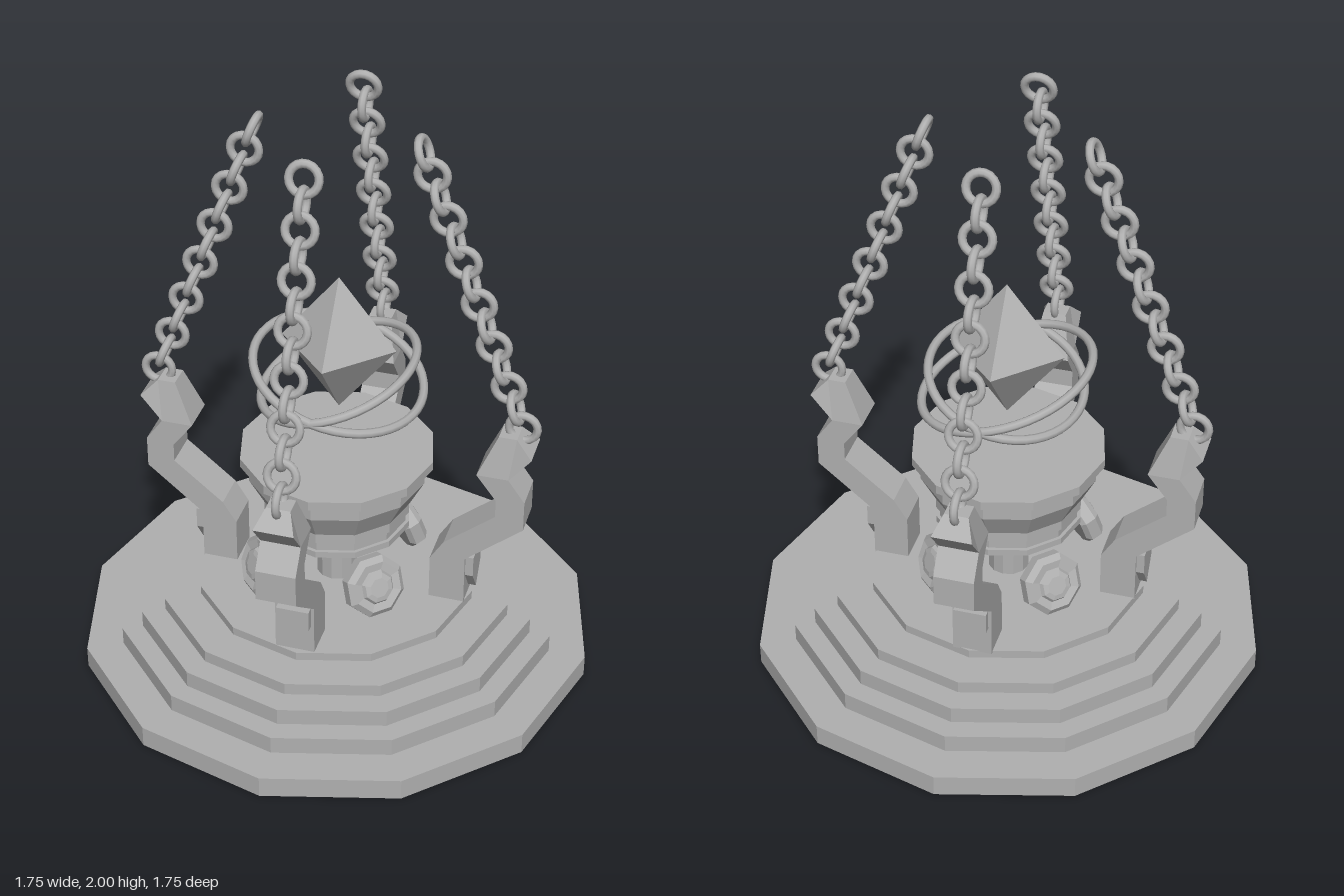
import * as THREE from 'three';

const stone = new THREE.MeshStandardMaterial({ color: 0xb0b0b0 });
const V = (x, y) => new THREE.Vector2(x, y);

function mesh(name, geometry, flat = true) {
  let g = geometry;
  if (flat) {
    if (g.index) g = g.toNonIndexed();
    g.computeVertexNormals();
  }
  const m = new THREE.Mesh(g, stone);
  m.name = name;
  return m;
}

// Twelve-sided stepped plinth: radius, bottom, top
function createPlinth() {
  const group = new THREE.Group();
  group.name = 'plinth';
  const steps = [[0.875, 0, 0.075], [0.75, 0.075, 0.138], [0.68, 0.138, 0.197], [0.6, 0.197, 0.24], [0.475, 0.24, 0.27]];
  steps.forEach(([r, y0, y1], i) => {
    const step = mesh('step' + (i + 1), new THREE.CylinderGeometry(r, r, y1 - y0, 12));
    step.position.y = (y0 + y1) / 2;
    group.add(step);
  });
  return group;
}

// Flared pedestal with a flat top
function createPedestal() {
  const profile = [
    V(0, 0.495), V(0.25, 0.495), V(0.25, 0.518), V(0.238, 0.518), V(0.238, 0.55), V(0.25, 0.555),
    V(0.25, 0.59), V(0.3, 0.685), V(0.3, 0.745), V(0.328, 0.745), V(0.328, 0.777), V(0, 0.777),
  ];
  return mesh('pedestal', new THREE.LatheGeometry(profile, 12));
}

// Bent supporting arm reaching out along +x, with a tapered tip and a pointed plate
function createArm() {
  const group = new THREE.Group();
  group.name = 'arm';
  const width = 0.132;
  const outline = new THREE.Shape([
    V(0.46, 0.265), V(0.46, 0.45), V(0.65, 0.61), V(0.65, 0.72), V(0.593, 0.8), V(0.665, 0.89),
    V(0.61, 0.945), V(0.55, 0.945), V(0.487, 0.8), V(0.555, 0.71), V(0.555, 0.645), V(0.386, 0.505),
    V(0.34, 0.43), V(0.34, 0.265),
  ]);
  const g = new THREE.ExtrudeGeometry(outline, { depth: width, bevelEnabled: false });
  g.translate(0, 0, -width / 2);
  const p = g.attributes.position;
  for (let i = 0; i < p.count; i++) if (p.getY(i) > 0.92) p.setZ(i, p.getZ(i) * 0.6);
  group.add(mesh('armBody', g));

  const plate = new THREE.Shape([V(0, 0.295), V(0.055, 0.375), V(0.055, 0.45), V(-0.055, 0.45), V(-0.055, 0.375)]);
  const plateMesh = mesh('armPlate', new THREE.ExtrudeGeometry(plate, { depth: 0.03, bevelEnabled: false }));
  plateMesh.rotation.y = Math.PI / 2;
  plateMesh.position.x = 0.457;
  group.add(plateMesh);
  return group;
}

// Chain of alternating links leaning inwards, along +x
function createChain(start, end, count) {
  const group = new THREE.Group();
  group.name = 'chain';
  const link = new THREE.TorusGeometry(0.047, 0.014, 8, 18);
  const lean = Math.atan2(start.x - end.x, end.y - start.y);
  for (let i = 0; i < count; i++) {
    const holder = new THREE.Group();
    const at = start.clone().lerp(end, i / (count - 1));
    holder.position.set(at.x, at.y, 0);
    holder.rotation.z = lean;
    const m = mesh('link', link, false);
    if (i % 2) m.rotation.y = Math.PI / 2;
    holder.add(m);
    group.add(holder);
  }
  return group;
}

// Eight-sided medallion with a raised centre, facing outwards and slightly up
function createMedallion() {
  const profile = [
    V(0, -0.035), V(0.09, -0.035), V(0.108, -0.02), V(0.108, 0.018), V(0.088, 0.036),
    V(0.06, 0.03), V(0.052, 0.042), V(0.034, 0.046), V(0, 0.046),
  ];
  const disc = mesh('medallion', new THREE.LatheGeometry(profile, 8, Math.PI / 8));
  disc.rotation.z = -Math.PI / 2 + 0.35;
  disc.position.set(0.27, 0.378, 0);
  const group = new THREE.Group();
  group.add(disc);
  return group;
}

// Floating gem with two crossed rings
function createGem() {
  const group = new THREE.Group();
  group.name = 'floatingGem';
  group.position.z = -0.02;
  const g = new THREE.OctahedronGeometry(1, 0);
  g.scale(0.192, 0.245, 0.192);
  const gem = mesh('gem', g);
  gem.position.y = 1.17;
  group.add(gem);
  for (const [rx, tilt] of [[0.285, -0.275], [0.257, 0.275]]) {
    const pts = [];
    for (let i = 0; i < 24; i++) {
      const a = (i / 24) * Math.PI * 2;
      pts.push(new THREE.Vector3(Math.cos(a) * rx, 0, Math.sin(a) * 0.315));
    }
    const curve = new THREE.CatmullRomCurve3(pts, true);
    const ring = mesh('ring', new THREE.TubeGeometry(curve, 48, 0.015, 8, true), false);
    ring.rotation.z = tilt;
    ring.position.y = 1.06;
    group.add(ring);
  }
  return group;
}

export function createModel() {
  const model = new THREE.Group();
  model.name = 'shrine';
  model.add(createPlinth(), createPedestal(), createGem());

  // Hidden stem under the pedestal
  const stem = mesh('stem', new THREE.CylinderGeometry(0.07, 0.07, 0.24, 12));
  stem.position.y = 0.38;
  model.add(stem);

  // Four arms with chains, and medallions between them
  for (let i = 0; i < 4; i++) {
    const angle = (i * Math.PI) / 2;
    const side = i % 2 === 0;
    const support = new THREE.Group();
    support.name = 'support';
    const chain = side
      ? createChain(V(0.62, 0.968), V(0.273, 1.908), 14)
      : createChain(V(0.592, 0.968), V(0.318, 1.94), 14);
    support.add(createArm(), chain);
    support.rotation.y = angle;
    support.position.set(side ? 0 : -0.009, 0, side ? -0.004 : -0.006);
    model.add(support);

    const medallion = createMedallion();
    medallion.name = 'medallionMount';
    medallion.rotation.y = angle + Math.PI / 4;
    medallion.position.x = -0.009;
    model.add(medallion);
  }
  return model;
}
